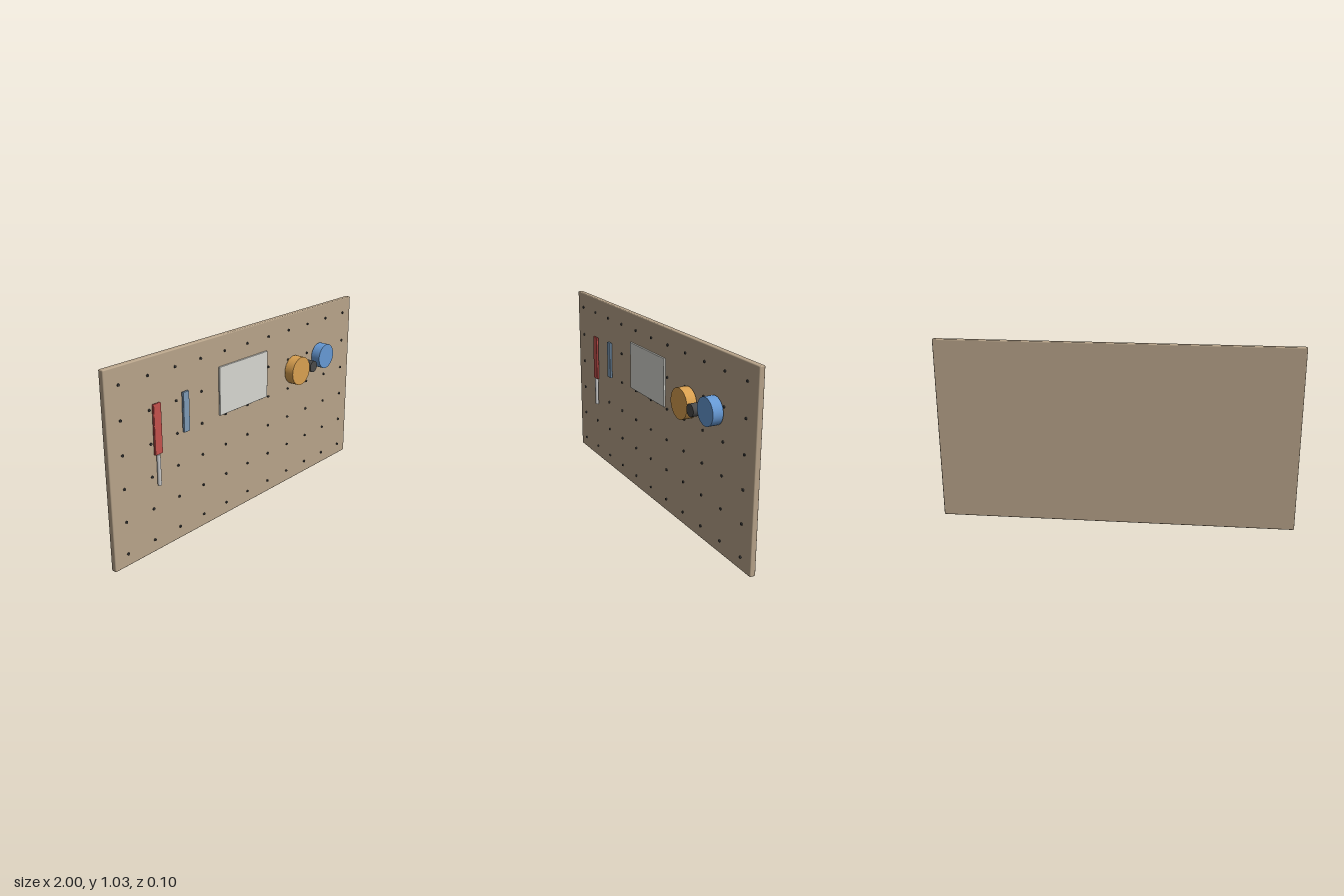
import * as THREE from 'three';
import { RoundedBoxGeometry } from 'three/addons/geometries/RoundedBoxGeometry.js';

const mat = (color) => new THREE.MeshStandardMaterial({ color });

export function createModel() {
  const group = new THREE.Group();

  const add = (name, geometry, material, x, y, z) => {
    const mesh = new THREE.Mesh(geometry, material);
    mesh.name = name;
    mesh.position.set(x, y, z);
    group.add(mesh);
    return mesh;
  };

  // Box given by its extents on each axis
  const box = (name, color, [x0, x1], [y0, y1], [z0, z1], bevel) =>
    add(name, new RoundedBoxGeometry(x1 - x0, y1 - y0, z1 - z0, 2, bevel), mat(color),
      (x0 + x1) / 2, (y0 + y1) / 2, (z0 + z1) / 2);

  // Disc or roll whose axis points out of the board
  const roll = (name, color, x, y, r, z0, z1, sides = 32) => {
    const g = new THREE.CylinderGeometry(r, r, z1 - z0, sides).rotateX(Math.PI / 2);
    return add(name, g, mat(color), x, y, (z0 + z1) / 2);
  };

  // Backing board
  box('board', 0xb8a48a, [-1, 1], [0, 1.035], [-0.049, -0.017], 0.006);

  // Grid of peg holes, standing slightly proud of the board
  const holeGeometry = new THREE.CylinderGeometry(0.007, 0.007, 0.008, 8).rotateX(Math.PI / 2);
  const holeMaterial = mat(0x3a3a3a);
  for (let i = 0; i < 11; i++) {
    for (let j = 0; j < 6; j++) {
      add('pegHole', holeGeometry, holeMaterial, -0.916 + i * 0.1832, 0.069 + j * 0.1755, -0.015);
    }
  }

  // Screwdriver: flat handle and round shaft
  box('screwdriverHandle', 0xc4504c, [-0.725, -0.674], [0.537, 0.802], [-0.006, 0.008], 0.004);
  add('screwdriverShaft', new THREE.CylinderGeometry(0.0105, 0.0105, 0.167, 12),
    mat(0xbcbcbc), -0.7, 0.4535, 0.001);

  // Small flat tool
  box('flatTool', 0x7d9ab5, [-0.521, -0.479], [0.596, 0.811], [-0.006, 0.008], 0.003);

  // Note sheet
  box('noteSheet', 0xd6d6d0, [-0.235, 0.163], [0.602, 0.87], [-0.016, -0.005], 0.002);

  // Tape rolls and the dark spindle between them
  roll('orangeTapeRoll', 0xd9a050, 0.414, 0.703, 0.083, -0.011, 0.046);
  roll('spindle', 0x4a4a4a, 0.531, 0.703, 0.034, -0.013, 0.05, 24);
  roll('blueTapeRoll', 0x6699d4, 0.664, 0.736, 0.073, -0.011, 0.046);

  return group;
}
